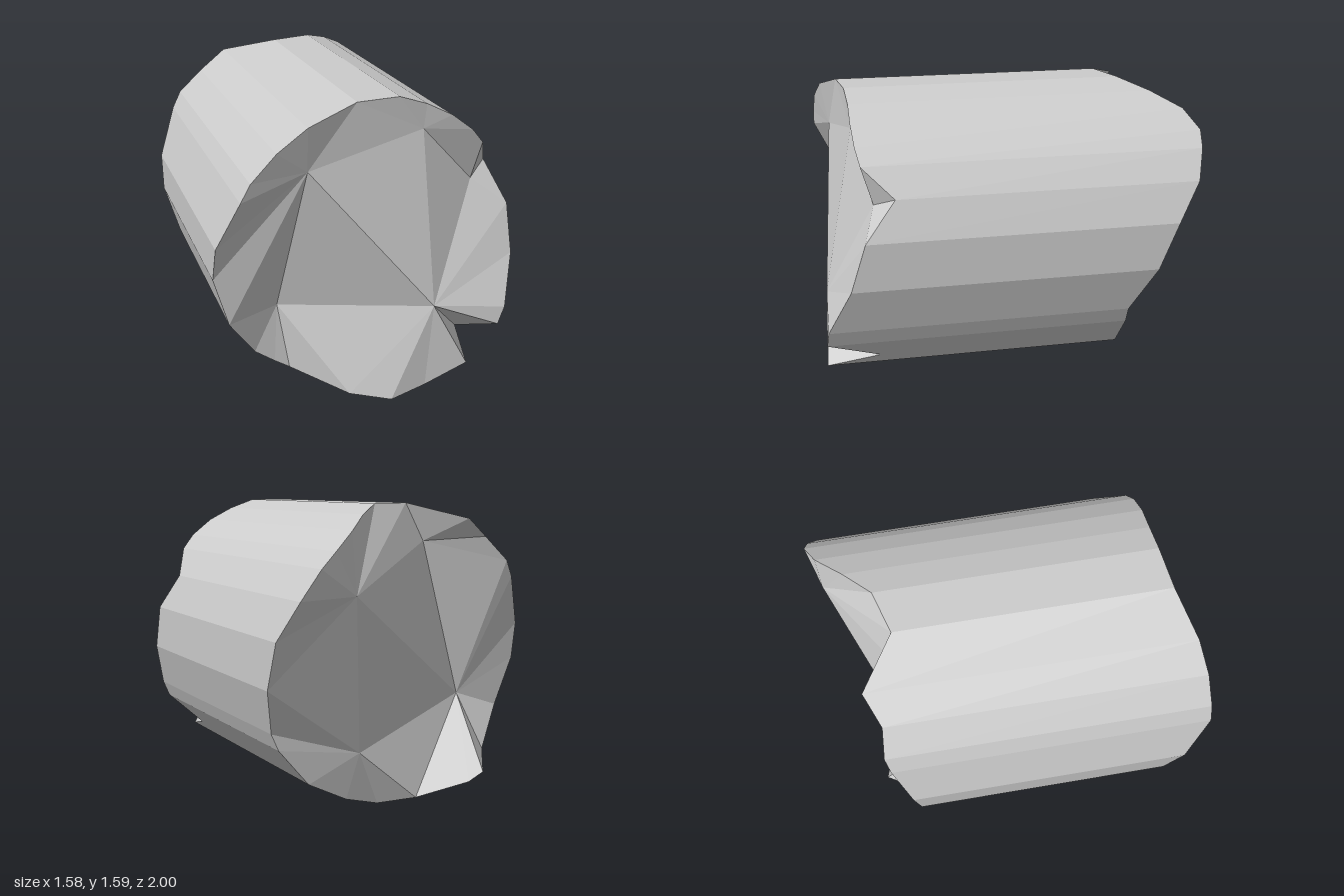
import * as THREE from 'three';

// Rim stations, clockwise seen from the front: [x, y, front z, back z]
const RIM = [
  [-.79, .72, .77, -.6], [-.79, .92, .86, -.63], [-.69, 1.19, .98, -.71], [-.64, 1.28, .98, -.73],
  [-.51, 1.41, .97, -.71], [-.35, 1.51, .94, -.78], [-.08, 1.59, .86, -.59], [.15, 1.59, .83, -.66],
  [.3, 1.54, .82, -.8], [.44, 1.47, .82, -.94], [.56, 1.38, .81, -1], [.63, 1.3, .79, -.99],
  [.72, 1.15, .63, -.95], [.79, .95, .79, -.83], [.79, .7, .87, -.73], [.71, .45, .99, -.6],
  [.67, .36, 1, -.6], [.56, .23, .72, -.6], [.5, .16, 1, -.6], [.28, .05, .97, -.6],
  [.09, 0, .98, -.6], [-.11, .02, .89, -.67], [-.37, .1, .66, -.79], [-.45, .15, .66, -.81],
  [-.56, .23, .67, -.65], [-.71, .45, .75, -.56],
];
const N = RIM.length;
const front = (i) => { const [x, y, z] = RIM[i % N]; return [x, y, z]; };
const back = (i) => { const [x, y, , z] = RIM[i % N]; return [x, y, z]; };

const material = new THREE.MeshStandardMaterial({
  color: 0xcccccc, flatShading: true, side: THREE.DoubleSide,
});

function facetMesh(name, triangles) {
  const geometry = new THREE.BufferGeometry();
  geometry.setAttribute('position', new THREE.Float32BufferAttribute(triangles.flat(2), 3));
  geometry.computeVertexNormals();
  const mesh = new THREE.Mesh(geometry, material);
  mesh.name = name;
  return mesh;
}

// Broken end: each hub point fans out to its own stretch of rim,
// neighbouring fans are joined, and the hubs close the middle.
function brokenEnd(name, rim, start, hubs, flip) {
  const triangles = [];
  const add = (a, b, c) => triangles.push(flip ? [a, c, b] : [a, b, c]);
  let i = start;
  hubs.forEach(({ at, end }, k) => {
    for (; i < end; i++) add(at, rim(i + 1), rim(i));
    add(at, hubs[(k + 1) % hubs.length].at, rim(end));
  });
  for (let k = 1; k < hubs.length - 1; k++) add(hubs[0].at, hubs[k + 1].at, hubs[k].at);
  return facetMesh(name, triangles);
}

export function createModel() {
  const model = new THREE.Group();
  model.name = 'brokenColumnPiece';

  // Faceted round wall between the two jagged rims
  const wall = [];
  for (let i = 0; i < N; i++) {
    wall.push([front(i), front(i + 1), back(i)], [front(i + 1), back(i + 1), back(i)]);
  }
  model.add(facetMesh('columnWall', wall));

  // Chipped front face
  model.add(brokenEnd('frontBreak', front, 13, [
    { at: [.31, .51, .98], end: 21 },
    { at: [-.43, .47, .64], end: 25 },
    { at: [-.34, 1.28, .9], end: 32 },
    { at: [.29, 1.41, .81], end: 36 },
    { at: [.6, 1.09, .73], end: 39 },
  ], false));

  // Slanted, chipped back face
  model.add(brokenEnd('backBreak', back, 21, [
    { at: [-.45, .54, -.55], end: 29 },
    { at: [-.19, 1.39, -.59], end: 32 },
    { at: [.42, 1.16, -.95], end: 40 },
    { at: [.24, .31, -.67], end: 47 },
  ], true));

  return model;
}
